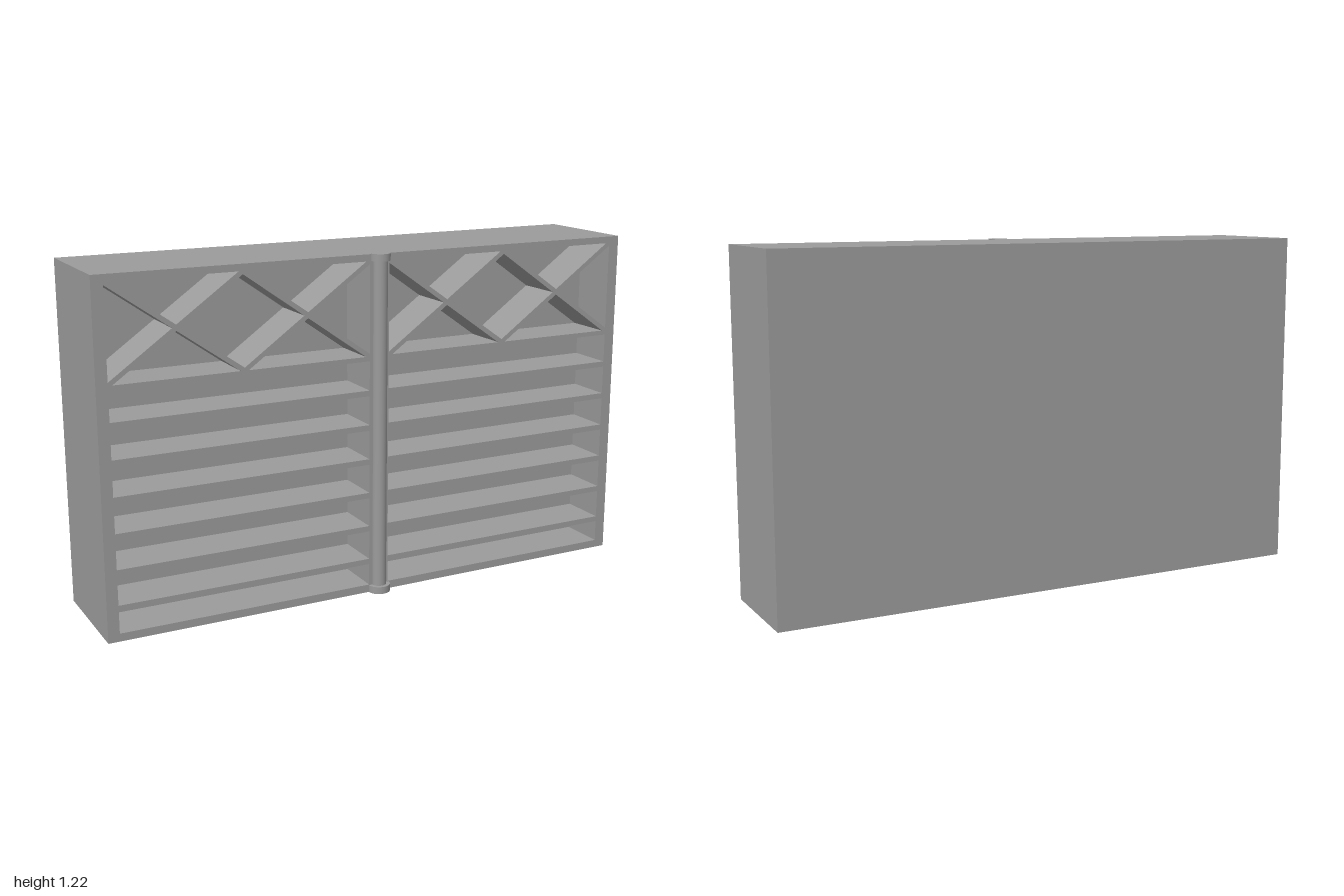
import * as THREE from 'three';
import { mergeGeometries } from 'three/addons/utils/BufferGeometryUtils.js';

const H = 1.213, FRONT = 0.184, BACK = -0.222, DEPTH = 0.17;
const material = new THREE.MeshStandardMaterial({ color: 0x9b9b9b, side: THREE.DoubleSide });

function part(name, geometry, parent) {
  const mesh = new THREE.Mesh(geometry, material);
  mesh.name = name;
  parent.add(mesh);
  return mesh;
}

const rect = (x0, y0, x1, y1) => [[x0, y0], [x1, y0], [x1, y1], [x0, y1]];

// Openings of the lattice: two crosses side by side, leaving thin diagonal slats
function latticeOpenings(x0, y0, x1, y1) {
  const xm = (x0 + x1) / 2, m = (y0 + y1) / 2, w = xm - x0;
  const v = 0.01, h = v * w / (y1 - y0);
  const c1 = x0 + w / 2, c2 = xm + w / 2;
  const openings = [
    [[x0, y0 + v], [c1 - h, m], [x0, y1 - v]],
    [[x1, y0 + v], [x1, y1 - v], [c2 + h, m]],
    [[xm, y0 + v], [c2 - h, m], [xm, y1 - v], [c1 + h, m]],
  ];
  for (const c of [c1, c2]) {
    openings.push([[c - w / 2 + h, y1], [c, m + v], [c + w / 2 - h, y1]]);
    openings.push([[c - w / 2 + h, y0], [c + w / 2 - h, y0], [c, m - v]]);
  }
  return openings;
}

// Walls running back from an opening, facing inwards
function compartment(points) {
  const loop = points.map(([x, y]) => new THREE.Vector2(x, y));
  if (THREE.ShapeUtils.isClockWise(loop)) loop.reverse();
  const zb = FRONT - DEPTH, pos = [];
  loop.forEach((a, i) => {
    const b = loop[(i + 1) % loop.length];
    pos.push(a.x, a.y, FRONT, b.x, b.y, FRONT, b.x, b.y, zb);
    pos.push(a.x, a.y, FRONT, b.x, b.y, zb, a.x, a.y, zb);
  });
  const walls = new THREE.BufferGeometry();
  walls.setAttribute('position', new THREE.Float32BufferAttribute(pos, 3));
  walls.computeVertexNormals();
  return walls;
}

export function createModel() {
  const group = new THREE.Group();
  group.name = 'shelfUnit';

  // Outer case: sides, top and back, open underneath
  const shell = new THREE.BoxGeometry(2, H, FRONT - BACK);
  const index = Array.from(shell.index.array);
  shell.setIndex([...index.slice(0, 18), ...index.slice(30, 36)]);
  shell.clearGroups();
  shell.translate(0, H / 2, (FRONT + BACK) / 2);
  part('outerCase', shell, group);

  // Seven shelf rows with a lattice above and one rear panel, in each bay
  const bottom = 0.028, top = 1.189;
  const front = new THREE.Shape(rect(-1, 0, 1, H).map(p => new THREE.Vector2(...p)));
  for (const [side, x0, x1] of [['right', -0.96, -0.037], ['left', 0.037, 0.96]]) {
    const rows = [rect(x0, bottom, x1, 0.106)];
    for (let i = 0; i < 6; i++) {
      const y = 0.126 + i * 0.1233;
      rows.push(rect(x0, y, x1, y + 0.103));
    }
    const lattice = latticeOpenings(x0, 0.862, x1, top);
    for (const p of [...rows, ...lattice]) {
      front.holes.push(new THREE.Path(p.map(q => new THREE.Vector2(...q))));
    }
    part(side + 'Shelves', mergeGeometries(rows.map(compartment)), group);
    part(side + 'Lattice', mergeGeometries(lattice.map(compartment)), group);
    part(side + 'RearPanel', new THREE.PlaneGeometry(x1 - x0, top - bottom), group)
      .position.set((x0 + x1) / 2, (top + bottom) / 2, FRONT - DEPTH);
  }
  part('frontFrame', new THREE.ShapeGeometry(front), group).position.z = FRONT;

  // Half-round column with a base and a capital
  const column = new THREE.Group();
  column.name = 'column';
  column.position.set(0.002, 0, FRONT);
  group.add(column);
  for (const [name, r, y0, y1] of [
    ['shaft', 0.026, 0.02, 1.195],
    ['base', 0.04, 0, 0.026],
    ['capital', 0.035, 1.19, 1.215],
  ]) {
    const half = new THREE.CylinderGeometry(r, r, y1 - y0, 20, 1, false, -Math.PI / 2, Math.PI);
    part(name, half, column).position.y = (y0 + y1) / 2;
  }
  return group;
}
